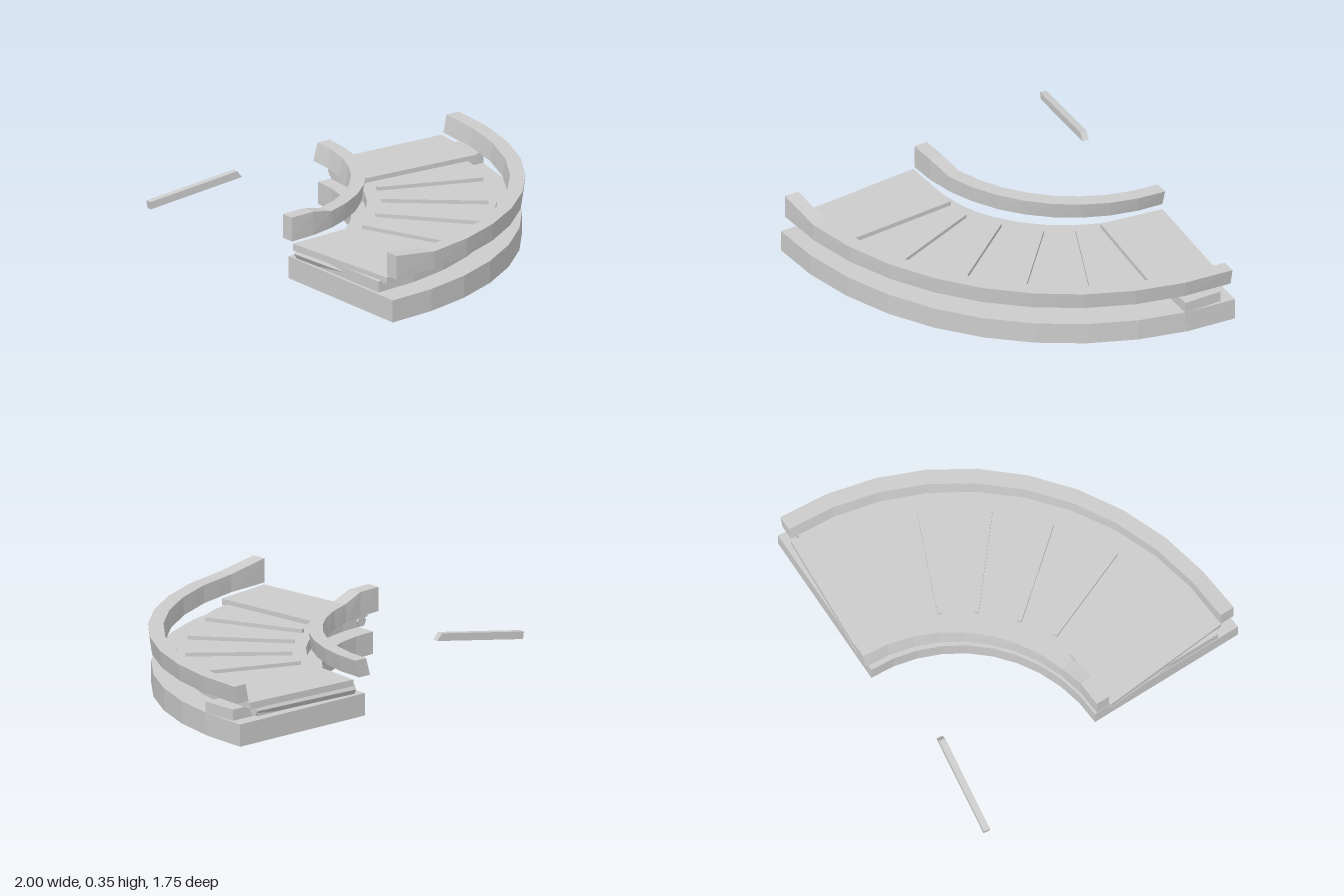
import * as THREE from 'three';

const STEPS = 10;

export function createModel() {
  const group = new THREE.Group();
  const material = new THREE.MeshStandardMaterial({ color: 0xcccccc, flatShading: true });

  function add(name, geometry) {
    const mesh = new THREE.Mesh(geometry, material);
    mesh.name = name;
    group.add(mesh);
    return mesh;
  }

  // Quarter-turn sweep about (cx, cz); section(i) returns four [radius, height] corners
  function quarterSweep(cx, cz, section) {
    const pos = [], index = [];
    for (let i = 0; i <= STEPS; i++) {
      const a = (i / STEPS) * Math.PI / 2;
      for (const [r, y] of section(i)) pos.push(cx + r * Math.sin(a), y, cz + r * Math.cos(a));
    }
    for (let i = 0; i < STEPS; i++) {
      for (let j = 0; j < 4; j++) {
        const a = i * 4 + j, b = i * 4 + (j + 1) % 4;
        index.push(a, a + 4, b + 4, a, b + 4, b);
      }
    }
    const e = STEPS * 4;
    index.push(0, 1, 2, 0, 2, 3, e, e + 2, e + 1, e, e + 3, e + 2);
    const g = new THREE.BufferGeometry();
    g.setAttribute('position', new THREE.Float32BufferAttribute(pos, 3));
    g.setIndex(index);
    const flat = g.toNonIndexed();
    flat.computeVertexNormals();
    return flat;
  }

  const ring = (r0, r1, y0, y1) => () => [[r0, y0], [r1, y0], [r1, y1], [r0, y1]];

  // Rail whose top leans outward along the bend and is raised at its first end
  const rail = (r0, r1, lean, raisedSteps) => (i) => {
    const d = lean * i / STEPS, top = i < raisedSteps ? 0.355 : 0.32;
    return [[r0, 0.225], [r1, 0.225], [r1 + d, top], [r0 + d, top]];
  };

  // Flat plate from plan corners [x, z]
  function plate(corners, y0, y1) {
    const shape = new THREE.Shape(corners.map(([x, z]) => new THREE.Vector2(x, -z)));
    const g = new THREE.ExtrudeGeometry(shape, { depth: y1 - y0, bevelEnabled: false });
    g.rotateX(-Math.PI / 2);
    g.translate(0, y0, 0);
    return g;
  }

  // Lay a part that runs along its own x from one point to another
  function span(mesh, a, b) {
    const from = new THREE.Vector3(...a), to = new THREE.Vector3(...b);
    mesh.position.copy(from).lerp(to, 0.5);
    const d = to.sub(from);
    mesh.rotation.order = 'YZX';
    mesh.rotation.y = Math.atan2(-d.z, d.x);
    mesh.rotation.z = Math.atan2(d.y, Math.hypot(d.x, d.z));
  }
  const length = (a, b) => new THREE.Vector3(...a).distanceTo(new THREE.Vector3(...b));

  // Base and curved deck
  add('base', quarterSweep(-0.735, -0.845, ring(0.835, 1.717, 0, 0.12)));
  add('deck', quarterSweep(-0.735, -0.82, ring(0.9, 1.57, 0.13, 0.19)));

  // Side rails
  add('outerRail', quarterSweep(-0.706, -0.82, rail(1.605, 1.685, 0.02, 1)));
  add('innerRail', quarterSweep(-0.765, -0.88, rail(0.862, 0.938, 0.028, 2)));

  // End plates
  add('frontEndPlate', plate([[-0.765, 0.065], [-0.706, 0.785], [-0.36, 0.735], [-0.41, 0.045]], 0.18, 0.215));
  add('backEndPlate', plate([[0.155, -0.52], [0.85, -0.465], [0.89, -0.825], [0.2, -0.865]], 0.18, 0.215));

  // End rollers
  const rollers = [
    [[-0.73, 0.16, 0.07], [-0.685, 0.16, 0.74]],
    [[0.18, 0.16, -0.835], [0.84, 0.16, -0.795]],
  ];
  for (const [a, b] of rollers) {
    const g = new THREE.CylinderGeometry(0.032, 0.032, length(a, b), 6);
    g.rotateZ(Math.PI / 2);
    span(add('endRoller', g), a, b);
  }

  // Raised radial slats
  const slats = [
    [[0.14, 0.195, -0.395], [0.665, 0.195, -0.18]],
    [[0.043, 0.195, -0.235], [0.465, 0.195, 0.125]],
    [[-0.118, 0.195, -0.075], [0.235, 0.195, 0.355]],
    [[-0.283, 0.195, 0.037], [-0.075, 0.195, 0.55]],
  ];
  for (const [a, b] of slats) span(add('slat', new THREE.BoxGeometry(length(a, b), 0.03, 0.025)), a, b);

  // Drive box at the back end
  const box = add('driveBox', new THREE.BoxGeometry(0.15, 0.13, 0.21));
  box.position.set(0.885, 0.115, -0.665);

  // Loose bar with a slanted end
  const a = [-1, 0.225, -0.85], b = [-0.455, 0.305, -0.785];
  const barGeometry = new THREE.BoxGeometry(length(a, b), 0.04, 0.035);
  const p = barGeometry.attributes.position;
  for (let i = 0; i < p.count; i++) {
    if (p.getX(i) > 0 && p.getY(i) > 0) p.setX(i, p.getX(i) - 0.025);
  }
  barGeometry.computeVertexNormals();
  span(add('looseBar', barGeometry), a, b);

  return group;
}
